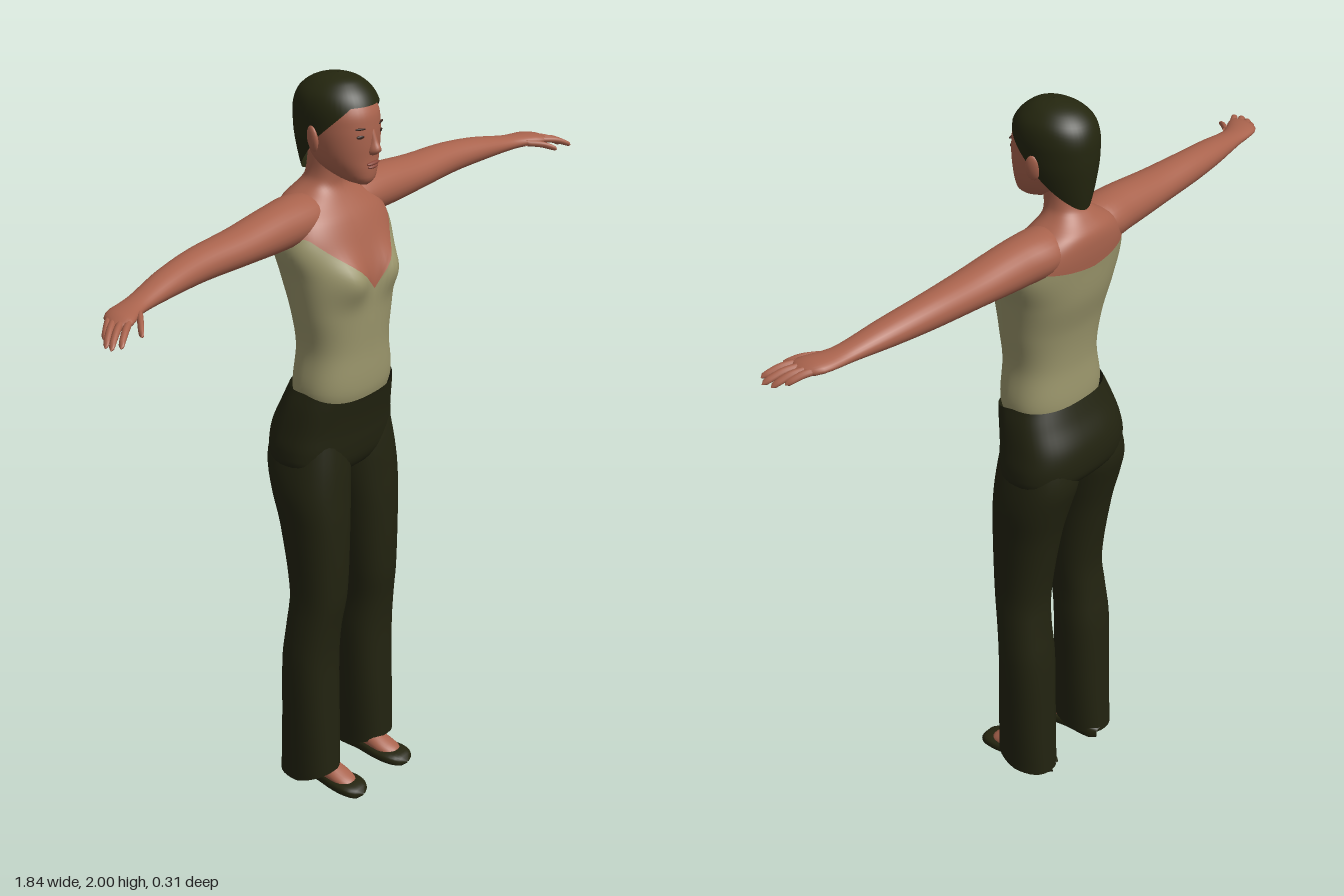
import * as THREE from 'three';

const material = (name, color, side = THREE.FrontSide) => {
  const m = new THREE.MeshStandardMaterial({ color, side });
  m.name = name;
  return m;
};

// Smooth interpolation of section rows [t, a0, a1, b0, b1]
function sectionAt(rows, t) {
  const n = rows.length;
  t = Math.min(Math.max(t, rows[0][0]), rows[n - 1][0]);
  let i = 0;
  while (i < n - 2 && t > rows[i + 1][0]) i++;
  const h = rows[i + 1][0] - rows[i][0], s = (t - rows[i][0]) / h;
  const slope = (k, c) => {
    const p = rows[Math.max(k - 1, 0)], q = rows[Math.min(k + 1, n - 1)];
    return (q[c] - p[c]) / (q[0] - p[0]);
  };
  return [1, 2, 3, 4].map(c => {
    const p = rows[i][c], q = rows[i + 1][c];
    return p * (1 + 2 * s) * (1 - s) ** 2 + q * s * s * (3 - 2 * s)
      + h * (slope(i, c) * s * (1 - s) ** 2 - slope(i + 1, c) * s * s * (1 - s));
  });
}

// Skin rounded sections along an axis. Rows give the bounds of each section:
// axis y: [y, x0, x1, z0, z1], axis x: [x, z0, z1, y0, y1], axis z: [z, y0, y1, x0, x1].
// from/to may vary with the angle so an edge can follow a curve.
function loft(rows, { axis = 'y', p = 1, nu = 32, nv = 24, from, to, ease = v => v, shape } = {}) {
  const pos = [], idx = [];
  for (let j = 0; j <= nv; j++) {
    for (let i = 0; i < nu; i++) {
      const th = (i / nu) * Math.PI * 2, c = Math.cos(th), s = Math.sin(th);
      const t0 = from ? from(c, s) : rows[0][0];
      const t1 = to ? to(c, s) : rows[rows.length - 1][0];
      const t = t0 + (t1 - t0) * ease(j / nv);
      const [a0, a1, b0, b1] = sectionAt(rows, t);
      const a = (a0 + a1) / 2 + (a1 - a0) / 2 * Math.sign(c) * Math.abs(c) ** p;
      const b = (b0 + b1) / 2 + (b1 - b0) / 2 * Math.sign(s) * Math.abs(s) ** p;
      const v = axis === 'y' ? [a, t, b] : axis === 'x' ? [t, b, a] : [b, a, t];
      if (shape) shape(v, s);
      pos.push(...v);
      if (j < nv) {
        const k = j * nu + i, r = j * nu + (i + 1) % nu;
        idx.push(k, k + nu, r, r, k + nu, r + nu);
      }
    }
  }
  const g = new THREE.BufferGeometry();
  g.setAttribute('position', new THREE.Float32BufferAttribute(pos, 3));
  g.setIndex(idx);
  g.computeVertexNormals();
  return g;
}

function mirrored(geo) {
  const g = geo.clone().scale(-1, 1, 1), ix = g.index.array;
  for (let i = 0; i < ix.length; i += 3) [ix[i], ix[i + 1]] = [ix[i + 1], ix[i]];
  g.computeVertexNormals();
  return g;
}

const ellipsoid = (x, y, z, rx, ry, rz, turn = 0, tilt = 0) =>
  new THREE.SphereGeometry(1, 16, 10).scale(rx, ry, rz).rotateZ(tilt).rotateY(turn).translate(x, y, z);

// Rows symmetric about x = 0: [y, halfWidth, zBack, zFront]
const centred = rows => rows.map(([y, w, z0, z1]) => [y, -w, w, z0, z1]);

export function createModel() {
  const model = new THREE.Group();
  model.name = 'woman';
  const skin = material('skin', 0xa9634d, THREE.DoubleSide);
  const cloth = material('topCloth', 0x9a956b, THREE.DoubleSide);
  const dark = material('trouserCloth', 0x222310, THREE.DoubleSide);
  const hairMat = material('hair', 0x24260f, THREE.DoubleSide);
  const shoeMat = material('shoe', 0x24240f);
  const eyeMat = material('eye', 0x36221a);
  const lipMat = material('lip', 0x8a483b);

  const add = (name, geo, mat) => {
    const m = new THREE.Mesh(geo, mat);
    m.name = name;
    model.add(m);
  };
  const pair = (name, geo, mat) => {
    add(name + 'Left', geo, mat);
    add(name + 'Right', mirrored(geo), mat);
  };

  // Torso: top and bare chest share one surface, split along the neckline
  const torso = centred([
    [1.13, 0.13, -0.09, 0.085], [1.19, 0.148, -0.1, 0.1], [1.3, 0.135, -0.095, 0.1],
    [1.4, 0.15, -0.105, 0.103], [1.5, 0.167, -0.13, 0.1], [1.58, 0.185, -0.14, 0.075],
    [1.64, 0.168, -0.145, 0.048], [1.68, 0.125, -0.14, 0.018], [1.71, 0.075, -0.118, 0],
    [1.735, 0.055, -0.1, 0], [1.8, 0.05, -0.09, 0.01],
  ]);
  const bust = (v, s) => {
    if (s > 0) v[2] += 0.03 * s * Math.exp(-(((Math.abs(v[0]) - 0.08) / 0.05) ** 2) - ((v[1] - 1.495) / 0.055) ** 2);
  };
  const neckline = (c, s) => s >= 0
    ? 1.46 + 0.155 * Math.min(1, Math.abs(c) ** 0.85 / 0.88)
    : 1.59 + 0.025 * Math.abs(c);
  add('top', loft(torso, { p: 0.85, nu: 64, nv: 36, to: neckline, shape: bust }), cloth);
  add('chestAndNeck', loft(torso, { p: 0.85, nu: 64, nv: 30, from: neckline, shape: bust }), skin);

  // Trousers
  const pelvis = centred([
    [0.935, 0.01, -0.05, 0.02], [0.95, 0.11, -0.095, 0.05], [0.98, 0.178, -0.14, 0.07],
    [1.02, 0.189, -0.155, 0.078], [1.08, 0.181, -0.151, 0.083], [1.15, 0.167, -0.122, 0.093],
    [1.2, 0.15, -0.103, 0.104],
  ]);
  add('trouserSeat', loft(pelvis, { p: 0.8, nu: 48, to: (c, s) => 1.192 - 0.026 * Math.max(0, s) }), dark);
  const leg = [
    [0.02, 0.058, 0.181, -0.103, 0.07], [0.2, 0.05, 0.186, -0.095, 0.065], [0.4, 0.045, 0.19, -0.088, 0.06],
    [0.5, 0.047, 0.184, -0.076, 0.068], [0.6, 0.038, 0.177, -0.07, 0.082], [0.8, 0.022, 0.186, -0.1, 0.085],
    [0.9, 0.008, 0.194, -0.126, 0.08], [0.98, 0.001, 0.187, -0.146, 0.075], [1.06, 0.01, 0.17, -0.135, 0.065],
  ];
  pair('trouserLeg', loft(leg, { p: 0.85, nv: 36, from: (c, s) => 0.025 + 0.035 * Math.max(0, s) }), dark);

  // Feet and slip-on shoes
  pair('shoe', loft([
    [-0.1, 0.008, 0.035, 0.085, 0.11], [-0.08, 0, 0.05, 0.07, 0.125], [0, 0, 0.042, 0.066, 0.126],
    [0.07, 0, 0.036, 0.056, 0.14], [0.12, 0, 0.034, 0.058, 0.142], [0.148, 0, 0.026, 0.076, 0.128],
    [0.157, 0.008, 0.012, 0.098, 0.104],
  ], { axis: 'z', p: 0.7, nu: 24 }), shoeMat);
  pair('foot', loft([
    [-0.04, 0.03, 0.13, 0.072, 0.122], [0.03, 0.01, 0.078, 0.068, 0.128], [0.08, 0.01, 0.055, 0.066, 0.132],
    [0.115, 0.01, 0.038, 0.078, 0.124], [0.125, 0.015, 0.025, 0.095, 0.105],
  ], { axis: 'z', nu: 24, nv: 16 }), skin);

  // Arms, palms and fingers
  pair('arm', loft([
    [0.03, -0.09, 0, 1.62, 1.69], [0.1, -0.125, 0.015, 1.59, 1.703], [0.2, -0.116, 0.015, 1.585, 1.702],
    [0.35, -0.103, 0.012, 1.592, 1.688], [0.5, -0.09, 0.006, 1.598, 1.681], [0.62, -0.072, 0.012, 1.602, 1.668],
    [0.74, -0.045, 0.022, 1.606, 1.646], [0.78, -0.04, 0.035, 1.607, 1.642], [0.82, -0.033, 0.055, 1.608, 1.64],
    [0.845, -0.016, 0.058, 1.608, 1.634], [0.858, 0.015, 0.035, 1.614, 1.622],
  ], { axis: 'x', nu: 28, nv: 48 }), skin);
  // Each finger: base x, base z, tip x, tip z, tip y
  [
    [0.82, -0.018, 0.893, 0.028, 1.59], [0.83, 0.004, 0.914, 0.052, 1.583], [0.83, 0.026, 0.92, 0.075, 1.585],
    [0.825, 0.044, 0.906, 0.092, 1.59], [0.775, 0.03, 0.838, 0.092, 1.595],
  ].forEach(([x0, z0, x1, z1, y1], i) => {
    const rows = [[0, 0.01], [0.5, 0.0105], [0.85, 0.009], [0.97, 0.006], [1, 0.0005]].map(([f, r]) => {
      const z = z0 + (z1 - z0) * f, y = 1.624 + (y1 + 0.008 - 1.624) * f * f;
      return [x0 + (x1 - x0) * f, z - r, z + r, y - r * 0.85, y + r * 0.85];
    });
    pair(i < 4 ? 'finger' + (i + 1) : 'thumb', loft(rows, { axis: 'x', nu: 12, nv: 12 }), skin);
  });

  // Head
  const roundTop = v => Math.sin(v * Math.PI / 2);
  add('head', loft(centred([
    [1.73, 0.012, 0.045, 0.08], [1.742, 0.036, 0.005, 0.093], [1.77, 0.06, -0.055, 0.098],
    [1.8, 0.075, -0.08, 0.098], [1.84, 0.084, -0.1, 0.1], [1.88, 0.087, -0.11, 0.099],
    [1.92, 0.084, -0.11, 0.092], [1.96, 0.064, -0.09, 0.062], [1.985, 0.01, -0.03, 0.01],
  ]), { p: 0.95, nu: 40, nv: 32 }), skin);

  // Short hair, its edge dropping from the forehead behind the ears to the nape
  add('hair', loft(centred([
    [1.73, 0.055, -0.112, 0.07], [1.78, 0.074, -0.122, 0.095], [1.84, 0.089, -0.13, 0.104],
    [1.88, 0.093, -0.132, 0.103], [1.92, 0.093, -0.13, 0.099], [1.955, 0.083, -0.116, 0.082],
    [1.98, 0.06, -0.088, 0.056], [1.993, 0.035, -0.055, 0.03], [2, 0.001, -0.015, -0.01],
  ]), {
    p: 0.95, nu: 48, nv: 30, ease: roundTop,
    from: (c, s) => s > 0 ? 1.85 + 0.085 * Math.min(1, s * 1.25) : 1.85 - 0.115 * Math.abs(s) ** 0.8,
  }), hairMat);

  // Face
  add('nose', loft(centred([
    [1.808, 0.006, 0.07, 0.098], [1.814, 0.015, 0.07, 0.11], [1.825, 0.016, 0.07, 0.121],
    [1.845, 0.011, 0.07, 0.111], [1.88, 0.009, 0.07, 0.098],
  ]), { nu: 16, nv: 14 }), skin);
  add('upperLip', ellipsoid(0, 1.789, 0.098, 0.024, 0.005, 0.007), lipMat);
  add('lowerLip', ellipsoid(0, 1.78, 0.097, 0.019, 0.005, 0.007), lipMat);
  pair('eye', ellipsoid(0.037, 1.862, 0.089, 0.014, 0.005, 0.004, 0.25), eyeMat);
  pair('eyebrow', ellipsoid(0.038, 1.882, 0.089, 0.018, 0.003, 0.004, 0.25, 0.08), eyeMat);
  pair('ear', ellipsoid(0.09, 1.85, -0.02, 0.01, 0.034, 0.02, 0.3, -0.12), skin);

  return model;
}
